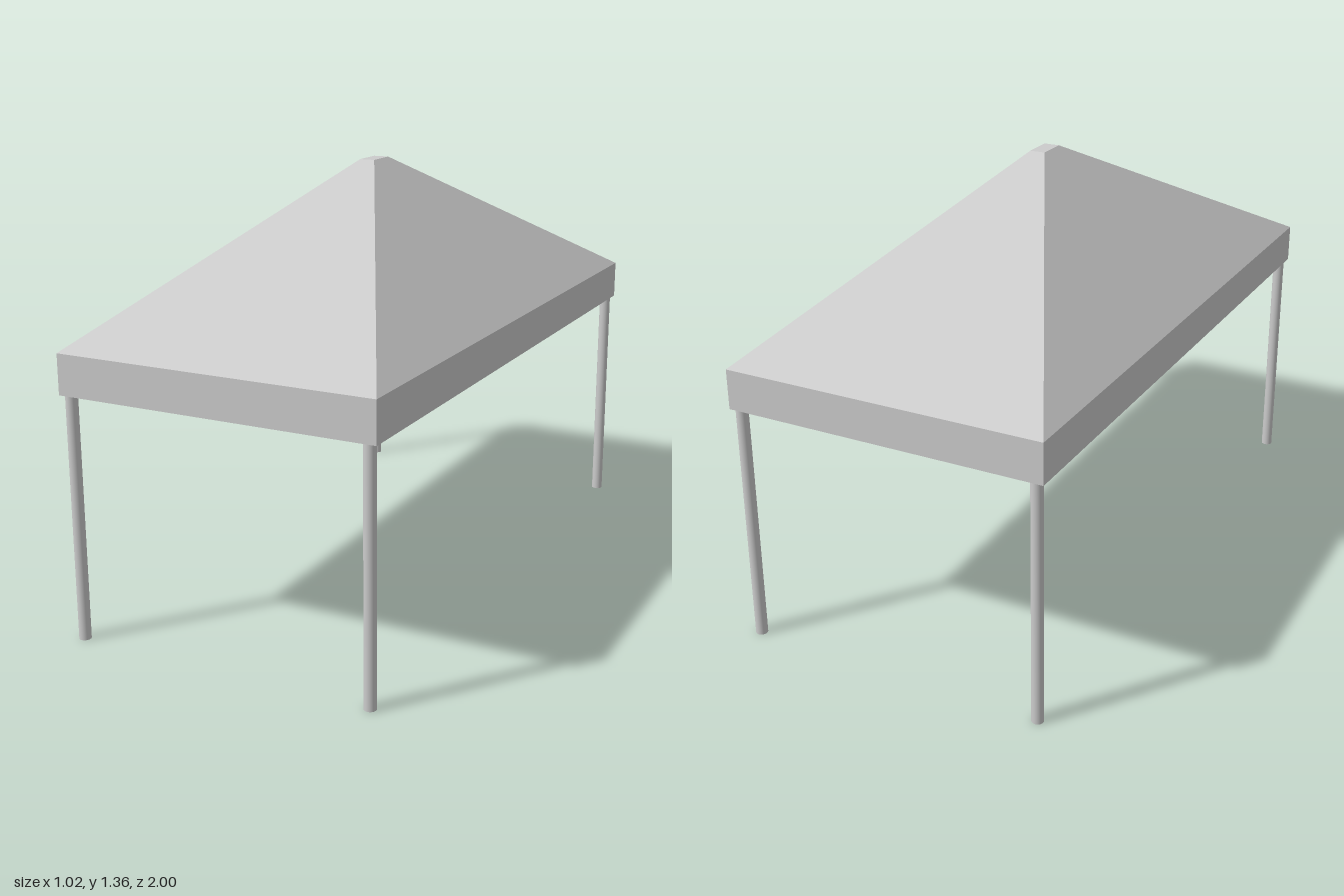
import * as THREE from 'three';

const EAVE = { x: 0.51, z: 1.0 };
const PEAK = { x: 0.025, z: 0.05 };
const RIM_Y = 0.763, EAVE_Y = 0.888, PEAK_Y = 1.362;

// Rectangular loop of corners at height y
const loop = ({ x, z }, y) => [[-x, y, z], [x, y, z], [x, y, -z], [-x, y, -z]];

// Joins rectangular loops with flat quads and caps both ends
function loft(loops) {
  const pos = [];
  const quad = (a, b, c, d) => pos.push(...a, ...b, ...c, ...a, ...c, ...d);
  for (let k = 0; k < loops.length - 1; k++) {
    const a = loops[k], b = loops[k + 1];
    for (let i = 0; i < 4; i++) {
      const j = (i + 1) % 4;
      quad(a[i], a[j], b[j], b[i]);
    }
  }
  quad(...[...loops[0]].reverse());
  quad(...loops[loops.length - 1]);
  const geo = new THREE.BufferGeometry();
  geo.setAttribute('position', new THREE.Float32BufferAttribute(pos, 3));
  geo.computeVertexNormals();
  return geo;
}

export function createModel() {
  const group = new THREE.Group();
  group.name = 'canopyTent';

  // Canopy: hollow underside, then valance, sloping roof and small flat peak
  const canopy = new THREE.Mesh(
    loft([
      loop(PEAK, PEAK_Y - 0.005),
      loop(EAVE, RIM_Y),
      loop(EAVE, EAVE_Y),
      loop(PEAK, PEAK_Y),
    ]),
    new THREE.MeshStandardMaterial({ color: 0xcccccc, flatShading: true })
  );
  canopy.name = 'canopy';
  group.add(canopy);

  // Four round corner poles, running up into the canopy
  const poleHeight = 0.79;
  const poleGeo = new THREE.CylinderGeometry(0.0185, 0.0185, poleHeight, 20);
  const poleMat = new THREE.MeshStandardMaterial({ color: 0xcccccc });
  for (const [sx, xName] of [[1, 'Left'], [-1, 'Right']]) {
    for (const [sz, zName] of [[1, 'front'], [-1, 'back']]) {
      const pole = new THREE.Mesh(poleGeo, poleMat);
      pole.name = `${zName}${xName}Pole`;
      pole.position.set(sx * 0.481, poleHeight / 2, sz * 0.98);
      group.add(pole);
    }
  }
  return group;
}
